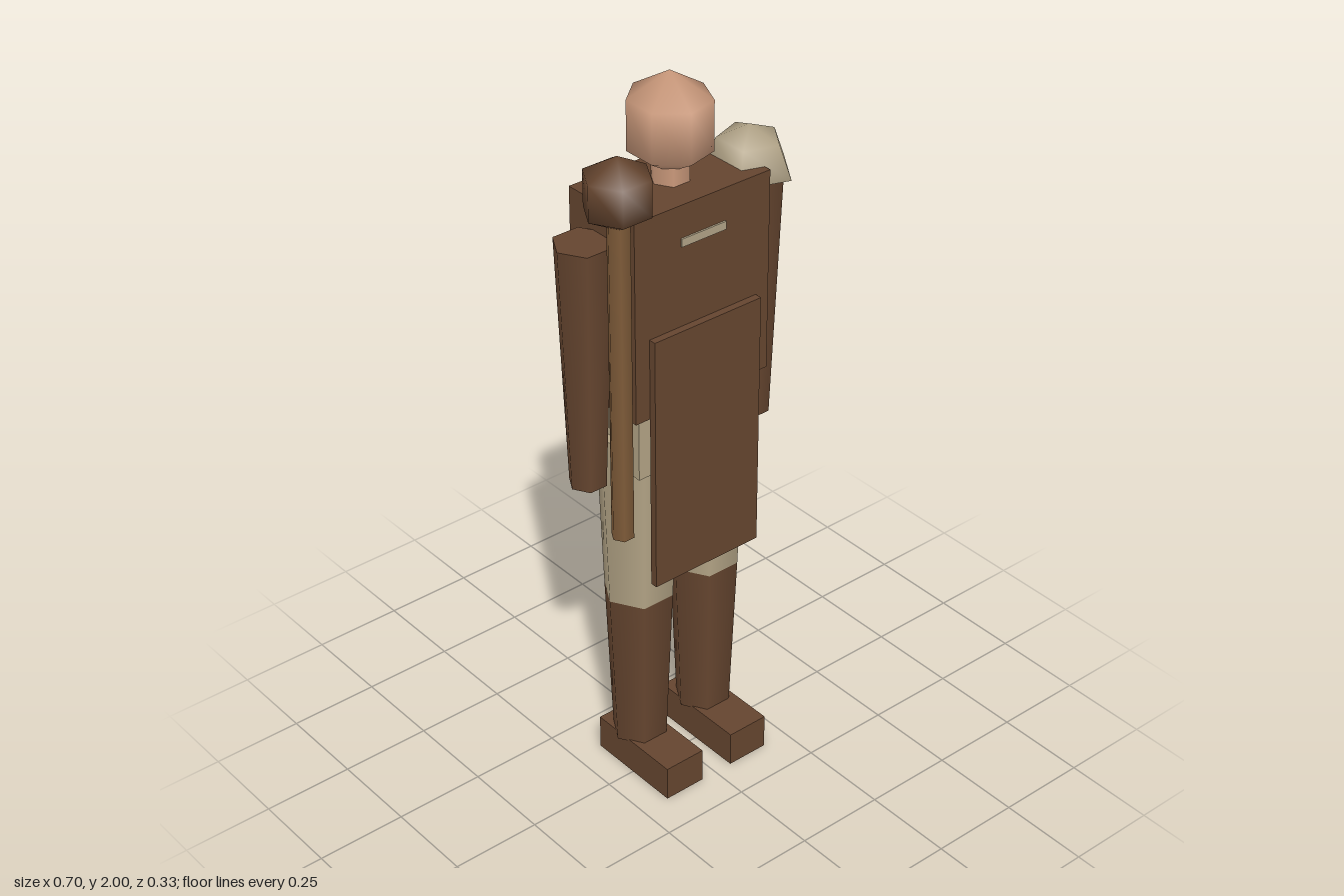
import * as THREE from 'three';

const paint = (name, color) => {
  const m = new THREE.MeshStandardMaterial({ color });
  m.name = name;
  return m;
};

export function createModel() {
  const leather = paint('leather brown', 0x65452f);
  const linen = paint('linen', 0xb2a385);
  const skin = paint('skin', 0xc9987a);
  const wood = paint('wood', 0x7d5a38);
  const pad = paint('pale pad', 0xb0a286);
  pad.side = THREE.DoubleSide; // the shoulder dome is open underneath

  const model = new THREE.Group();
  model.name = 'figure';
  const midX = 0.003, midZ = -0.044;

  const add = (name, geometry, material, x, y, z) => {
    const mesh = new THREE.Mesh(geometry, material);
    mesh.name = name;
    mesh.position.set(x, y, z);
    model.add(mesh);
    return mesh;
  };
  const box = (name, material, w, y0, y1, z0, z1, x = midX) =>
    add(name, new THREE.BoxGeometry(w, y1 - y0, z1 - z0), material, x, (y0 + y1) / 2, (z0 + z1) / 2);
  // Upright six-sided limb with corners on the x axis
  const limb = (name, material, rTop, rBottom, y0, y1, x, z = midZ) =>
    add(name, new THREE.CylinderGeometry(rTop, rBottom, y1 - y0, 6).rotateY(Math.PI / 2), material, x, (y0 + y1) / 2, z);
  // Low-segment ball with a corner on +x
  const ball = (name, material, sides, rx, ry, rz, x, y, z) =>
    add(name, new THREE.SphereGeometry(1, sides, 3).rotateY(Math.PI).scale(rx, ry, rz), material, x, y, z);

  // Head and trunk
  ball('head', skin, 7, 0.12, 0.133, 0.127, midX, 1.867, -0.045);
  limb('neck', skin, 0.05, 0.05, 1.7, 1.8, midX);
  box('torso', leather, 0.42, 1.164, 1.718, -0.166, 0.078);
  box('pelvis', linen, 0.378, 0.985, 1.18, -0.15, 0.062);
  box('apron', leather, 0.336, 0.67, 1.39, 0.08, 0.1);
  box('chestClasp', pad, 0.138, 1.608, 1.63, 0.074, 0.083);

  // Paired limbs
  for (const [side, s] of [['left', 1], ['right', -1]]) {
    const legX = midX + s * 0.11;
    limb(side + 'Arm', leather, 0.076, 0.05, 0.96, 1.638, midX + s * 0.267);
    limb(side + 'Thigh', linen, 0.113, 0.095, 0.56, 1.062, legX);
    limb(side + 'Shin', leather, 0.095, 0.076, 0.095, 0.56, legX);
    box(side + 'Foot', leather, 0.121, 0, 0.1, -0.14, 0.144, legX);
  }

  // Dome over the left shoulder
  const dome = new THREE.SphereGeometry(1, 5, 2, 0, Math.PI * 2, 0, Math.PI / 2)
    .rotateY(Math.PI).scale(0.113, 0.12, 0.121);
  add('shoulderPad', dome, pad, 0.234, 1.675, -0.022);

  // Mace carried upright at the right side
  limb('maceHandle', wood, 0.03, 0.03, 0.872, 1.78, -0.264, 0.092);
  ball('maceHead', leather, 6, 0.0985, 0.095, 0.0985, -0.263, 1.822, 0.0885);

  return model;
}
